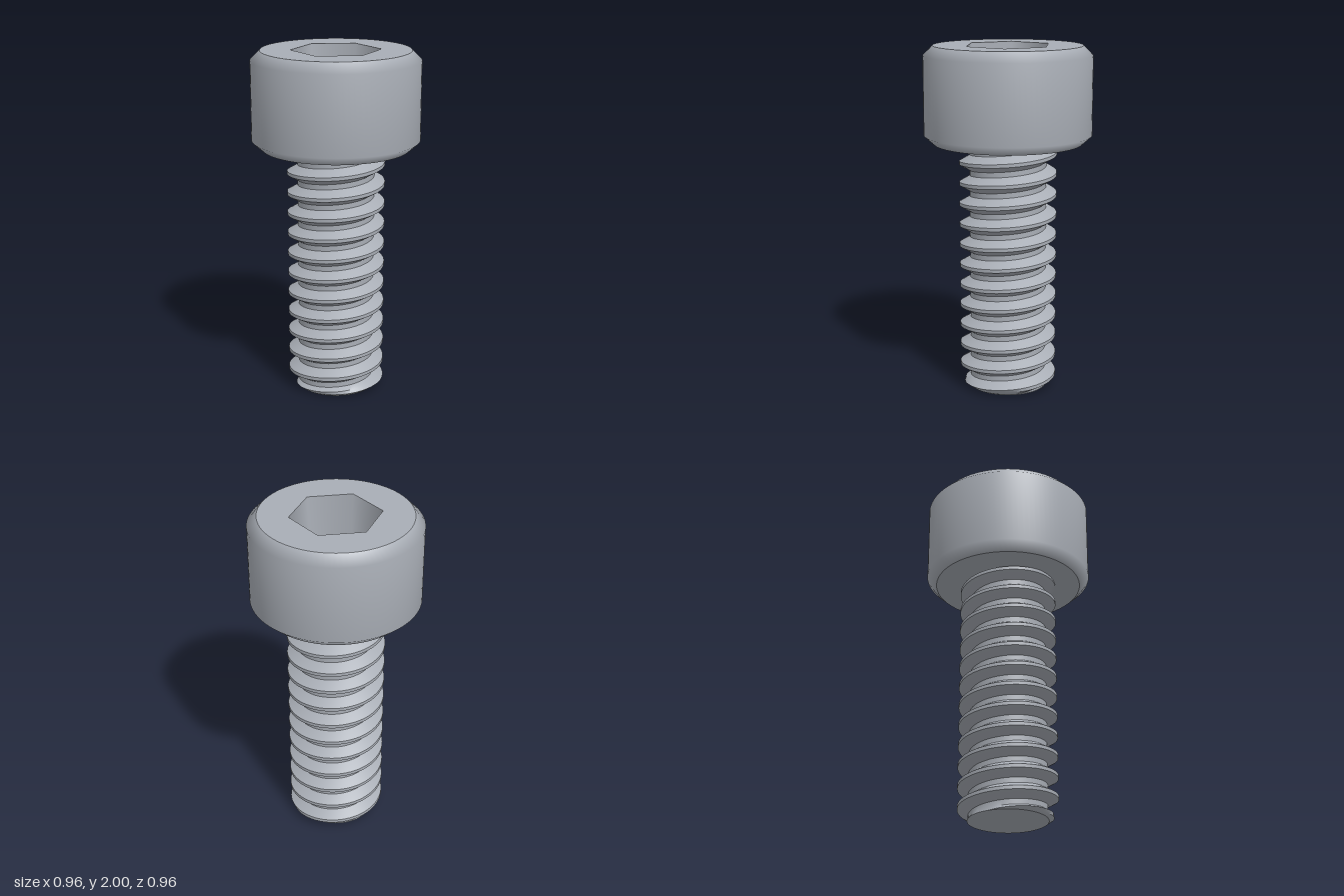
import * as THREE from 'three';
import { toCreasedNormals } from 'three/addons/utils/BufferGeometryUtils.js';

const HEAD_BOTTOM = 1.445, HEAD_TOP = 2;
const HEAD_RADIUS = 0.48, FACE_RADIUS = 0.425;
const PITCH = 0.12, CREST = 0.28, ROOT = 0.22, TIP = 0.225;

const steel = new THREE.MeshStandardMaterial({ color: 0xa9aeb6 });
steel.name = 'steel grey';

function part(name, geometry, parent) {
  const mesh = new THREE.Mesh(geometry, steel);
  mesh.name = name;
  parent.add(mesh);
  return mesh;
}

const lathe = (points, sides, start = 0) =>
  new THREE.LatheGeometry(points.map(([r, y]) => new THREE.Vector2(r, y)), sides, start);

// Flat disc with its outline facing up, or down when flipped
function disc(radius, sides, y, down = false) {
  return new THREE.CircleGeometry(radius, sides).rotateX(down ? Math.PI / 2 : -Math.PI / 2).translate(0, y, 0);
}

// Right-hand helical thread, trimmed flat at both ends and chamfered at the tip
function threadGeometry() {
  const segments = 72, turns = Math.round(HEAD_BOTTOM / PITCH);
  // one pitch of the profile, measured upward from the lower crest edge
  const profile = [[-0.01, CREST], [0.01, CREST], [0.028, 0.25], [0.045, ROOT], [0.075, ROOT], [0.092, 0.25]];
  const rows = [];
  for (let k = -2; k <= turns + 1; k++)
    for (const [dy, r] of profile) rows.push([k * PITCH + 0.04 + dy, r]);

  const positions = [];
  const point = ([y0, r0], i) => {
    const angle = (i / segments) * Math.PI * 2;
    const y = THREE.MathUtils.clamp(y0 + (PITCH * i) / segments, 0, HEAD_BOTTOM);
    const r = Math.min(r0, TIP + 1.35 * y);
    return new THREE.Vector3(r * Math.cos(angle), y, -r * Math.sin(angle));
  };
  const triangle = (a, b, c) => {
    const area = b.clone().sub(a).cross(c.clone().sub(a)).length();
    if (area > 1e-8) for (const v of [a, b, c]) positions.push(v.x, v.y, v.z);
  };
  for (let j = 0; j < rows.length - 1; j++) {
    for (let i = 0; i < segments; i++) {
      const a = point(rows[j], i), b = point(rows[j], i + 1);
      const c = point(rows[j + 1], i + 1), d = point(rows[j + 1], i);
      triangle(a, b, c);
      triangle(a, c, d);
    }
  }
  const geometry = new THREE.BufferGeometry();
  geometry.setAttribute('position', new THREE.Float32BufferAttribute(positions, 3));
  return toCreasedNormals(geometry, 0.6);
}

export function createModel() {
  const model = new THREE.Group();
  model.name = 'socketHeadScrew';

  // Head: side and chamfers share smooth normals
  const head = new THREE.Group();
  head.name = 'head';
  model.add(head);
  part('headSide', lathe([
    [FACE_RADIUS, HEAD_BOTTOM], [HEAD_RADIUS, HEAD_BOTTOM + 0.05],
    [HEAD_RADIUS, HEAD_TOP - 0.055], [FACE_RADIUS, HEAD_TOP],
  ], 96), head);
  part('headUnderside', disc(FACE_RADIUS, 96, HEAD_BOTTOM, true), head);

  // Top face with a hexagonal opening
  const face = new THREE.Shape().absarc(0, 0, FACE_RADIUS, 0, Math.PI * 2);
  const opening = [];
  for (let i = 0; i < 6; i++) {
    const a = (-i * Math.PI) / 3;
    opening.push(new THREE.Vector2(0.255 * Math.cos(a), 0.255 * Math.sin(a)));
  }
  face.holes.push(new THREE.Path(opening));
  part('headTop', new THREE.ShapeGeometry(face, 96).rotateX(-Math.PI / 2).translate(0, HEAD_TOP, 0), head);

  // Slightly tapered hexagonal socket
  const floor = HEAD_TOP - 0.3;
  part('socketWall', lathe([[0.255, HEAD_TOP], [0.234, floor]], 6, Math.PI / 2), head);
  part('socketFloor', disc(0.234, 6, floor), head);

  // Shank
  const shank = new THREE.Group();
  shank.name = 'shank';
  model.add(shank);
  part('thread', threadGeometry(), shank);
  part('shankTip', disc(TIP, 72, 0, true), shank);

  return model;
}
